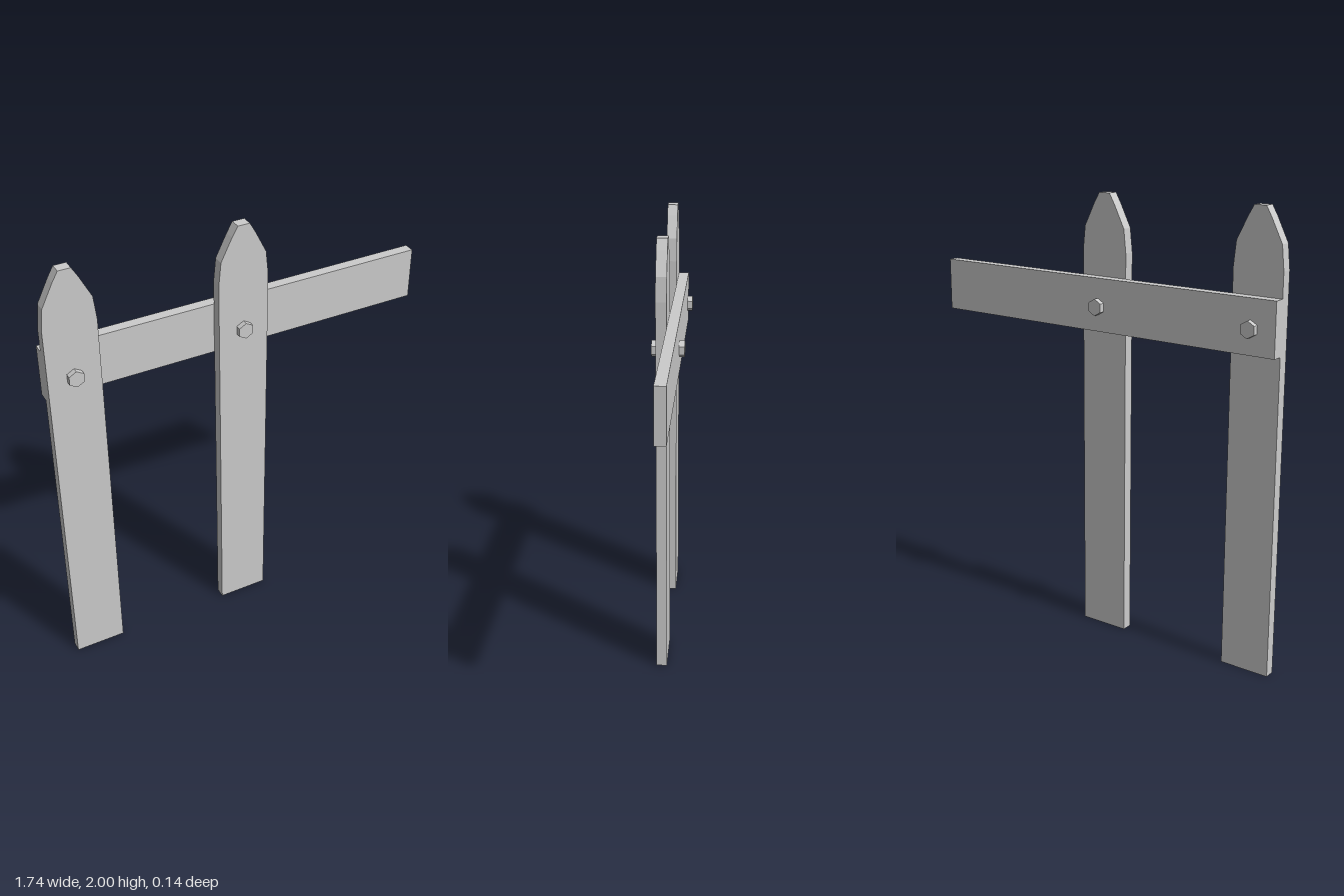
import * as THREE from 'three';

const THICK = 0.0475;   // board thickness
const RAIL_Y = 1.525;   // rail centre height
const BOLT_Y = 1.517;

export function createModel() {
  const group = new THREE.Group();
  const material = new THREE.MeshStandardMaterial({ color: 0xcccccc, flatShading: true });

  const add = (name, geometry, x, y, z) => {
    const mesh = new THREE.Mesh(geometry, material);
    mesh.name = name;
    mesh.position.set(x, y, z);
    group.add(mesh);
    return mesh;
  };

  // Picket outline: right half from the foot to the tip, mirrored for the left
  const half = [[0.114, 0], [0.114, 1.75], [0.103, 1.855], [0.053, 1.955], [0.027, 2]];
  const outline = [...half, ...half.map(([x, y]) => [-x, y]).reverse()];
  const picketGeometry = new THREE.ExtrudeGeometry(
    new THREE.Shape(outline.map(([x, y]) => new THREE.Vector2(x, y))),
    { depth: THICK, bevelEnabled: false }
  );

  // Hexagonal bolt running through picket and rail, a corner pointing up
  const boltGeometry = new THREE.CylinderGeometry(0.037, 0.037, 0.144, 6).rotateX(Math.PI / 2);

  for (const [side, x] of [['right', -0.756], ['middle', 0]]) {
    add(side + 'Picket', picketGeometry, x, 0, 0);
    add(side + 'Bolt', boltGeometry, x, BOLT_Y, 0);
  }

  // Rail behind the pickets
  add('rail', new THREE.BoxGeometry(1.74, 0.234, THICK), 0, RAIL_Y, -THICK / 2);

  return group;
}
